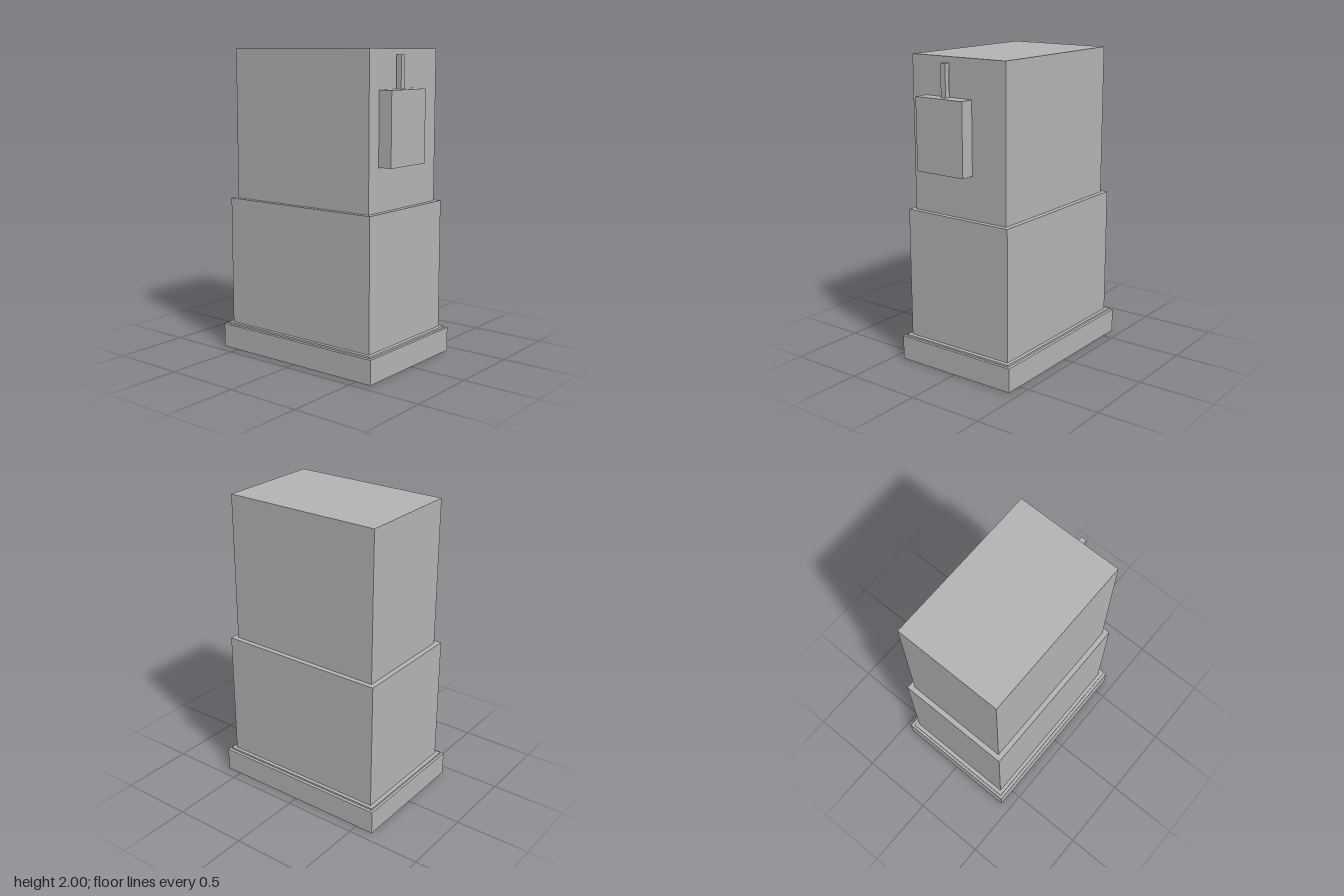
import * as THREE from 'three';

export function createModel() {
  const model = new THREE.Group();
  model.name = 'steppedCabinet';
  const grey = new THREE.MeshStandardMaterial({ color: 0xb2b2b2 });
  grey.name = 'plain grey';

  // Box given by its lowest and highest corners
  function addBox(name, [x0, y0, z0], [x1, y1, z1]) {
    const mesh = new THREE.Mesh(new THREE.BoxGeometry(x1 - x0, y1 - y0, z1 - z0), grey);
    mesh.name = name;
    mesh.position.set((x0 + x1) / 2, (y0 + y1) / 2, (z0 + z1) / 2);
    model.add(mesh);
  }

  // Stacked tiers: name, bottom, top, half width, half depth
  const centreX = -0.008;
  const tiers = [
    ['basePlinth', 0, 0.158, 0.615, 0.432],
    ['plinthLip', 0.158, 0.17, 0.598, 0.412],
    ['lowerBody', 0.17, 1.02, 0.571, 0.388],
    ['upperBody', 1.02, 2, 0.538, 0.355],
  ];
  for (const [name, y0, y1, hx, hz] of tiers) {
    addBox(name, [centreX - hx, y0, -hz], [centreX + hx, y1, hz]);
  }

  // Side-mounted box with its upright conduit
  addBox('sideBox', [0.53, 1.295, -0.103], [0.621, 1.757, 0.257]);
  addBox('conduit', [0.54, 1.757, 0.059], [0.575, 1.964, 0.095]);

  return model;
}
